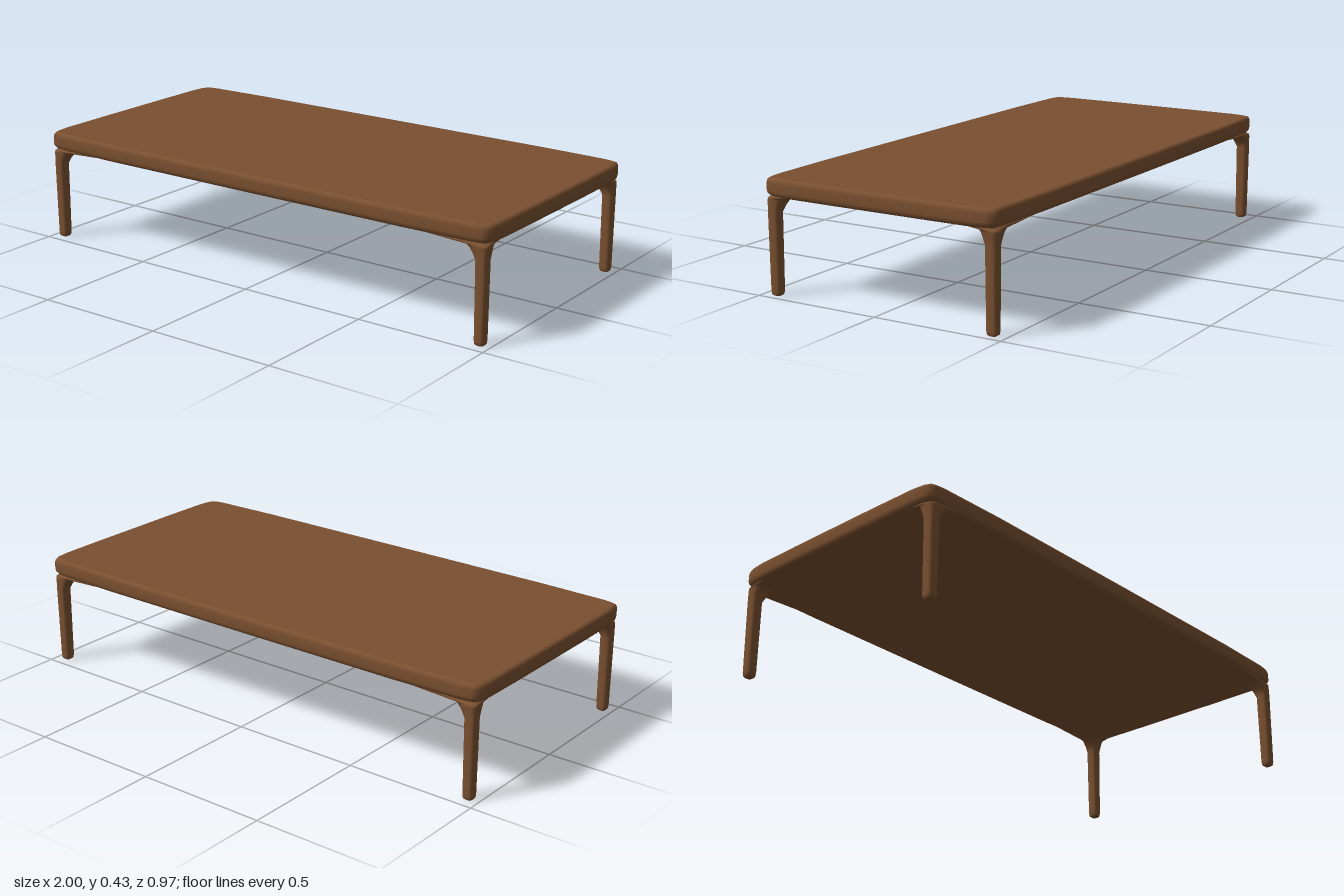
import * as THREE from 'three';

// Skin a stack of rings (counterclockwise seen from above, bottom to top) with flat end caps.
function loft(rings) {
  const n = rings[0].length;
  const pos = [], index = [];
  rings.forEach(ring => ring.forEach(p => pos.push(...p)));
  for (let k = 0; k < rings.length - 1; k++) {
    for (let i = 0; i < n; i++) {
      const j = (i + 1) % n, a = k * n + i, b = k * n + j;
      index.push(a, b, b + n, a, b + n, a + n);
    }
  }
  // caps have their own vertices so their edges stay crisp
  [[rings[0], true], [rings[rings.length - 1], false]].forEach(([ring, down]) => {
    const start = pos.length / 3;
    ring.forEach(p => pos.push(...p));
    for (let i = 1; i < n - 1; i++) {
      index.push(start, start + (down ? i + 1 : i), start + (down ? i : i + 1));
    }
  });
  const geometry = new THREE.BufferGeometry();
  geometry.setAttribute('position', new THREE.Float32BufferAttribute(pos, 3));
  geometry.setIndex(index);
  geometry.computeVertexNormals();
  return geometry;
}

// Softly bowed outline of the top, mirrored from one quarter
function topRing(y, inset) {
  const q = [[1, 0], [1, 0.2], [0.998, 0.39], [0.992, 0.44], [0.982, 0.463],
    [0.965, 0.47], [0.93, 0.475], [0.67, 0.482], [0, 0.483]];
  const flip = (pts, sx, sz) => pts.map(([x, z]) => [x * sx, z * sz]);
  const back = [...q].reverse();
  const outline = [
    ...flip(q, 1, -1).slice(0, -1), ...flip(back, -1, -1).slice(0, -1),
    ...flip(q, -1, 1).slice(0, -1), ...flip(back, 1, 1).slice(0, -1),
  ];
  return outline.map(([x, z]) => [x * (1 - inset), y, z * (1 - inset / 0.483)]);
}

// Rounded-square leg section between its inner and outer limits
function legRing([y, x0, x1, z0, z1]) {
  const soft = v => Math.sign(v) * Math.pow(Math.abs(v), 0.6);
  return Array.from({ length: 24 }, (_, i) => {
    const a = i / 24 * Math.PI * 2;
    return [(x0 + x1) / 2 + soft(Math.cos(a)) * (x1 - x0) / 2, y,
      (z0 + z1) / 2 - soft(Math.sin(a)) * (z1 - z0) / 2];
  });
}

export function createModel() {
  const group = new THREE.Group();
  const wood = new THREE.MeshStandardMaterial({ color: 0x7a5030 });
  wood.name = 'brown wood';

  // table top: rounded slab
  const profile = [[0.359, 0.014], [0.363, 0.007], [0.37, 0.002], [0.38, 0],
    [0.408, 0], [0.417, 0.002], [0.423, 0.006], [0.426, 0.013]];
  const top = new THREE.Mesh(loft(profile.map(([y, d]) => topRing(y, d))), wood);
  top.name = 'tableTop';
  group.add(top);

  // legs: y, x inner, x outer, z inner, z outer; flaring inward under the top
  const leg = loft([
    [0.001, 0.945, 0.973, 0.433, 0.461],
    [0.005, 0.941, 0.977, 0.428, 0.466],
    [0.018, 0.939, 0.979, 0.426, 0.468],
    [0.16, 0.938, 0.98, 0.425, 0.469],
    [0.3, 0.937, 0.981, 0.424, 0.47],
    [0.325, 0.924, 0.982, 0.415, 0.471],
    [0.345, 0.907, 0.983, 0.405, 0.472],
    [0.352, 0.893, 0.984, 0.398, 0.472],
    [0.361, 0.65, 0.984, 0.3, 0.472],
  ].map(legRing));
  for (const sx of [1, -1]) {
    for (const sz of [1, -1]) {
      const mesh = new THREE.Mesh(leg, wood);
      mesh.name = (sz > 0 ? 'front' : 'back') + (sx > 0 ? 'Left' : 'Right') + 'Leg';
      mesh.scale.set(sx, 1, sz);
      group.add(mesh);
    }
  }
  return group;
}
